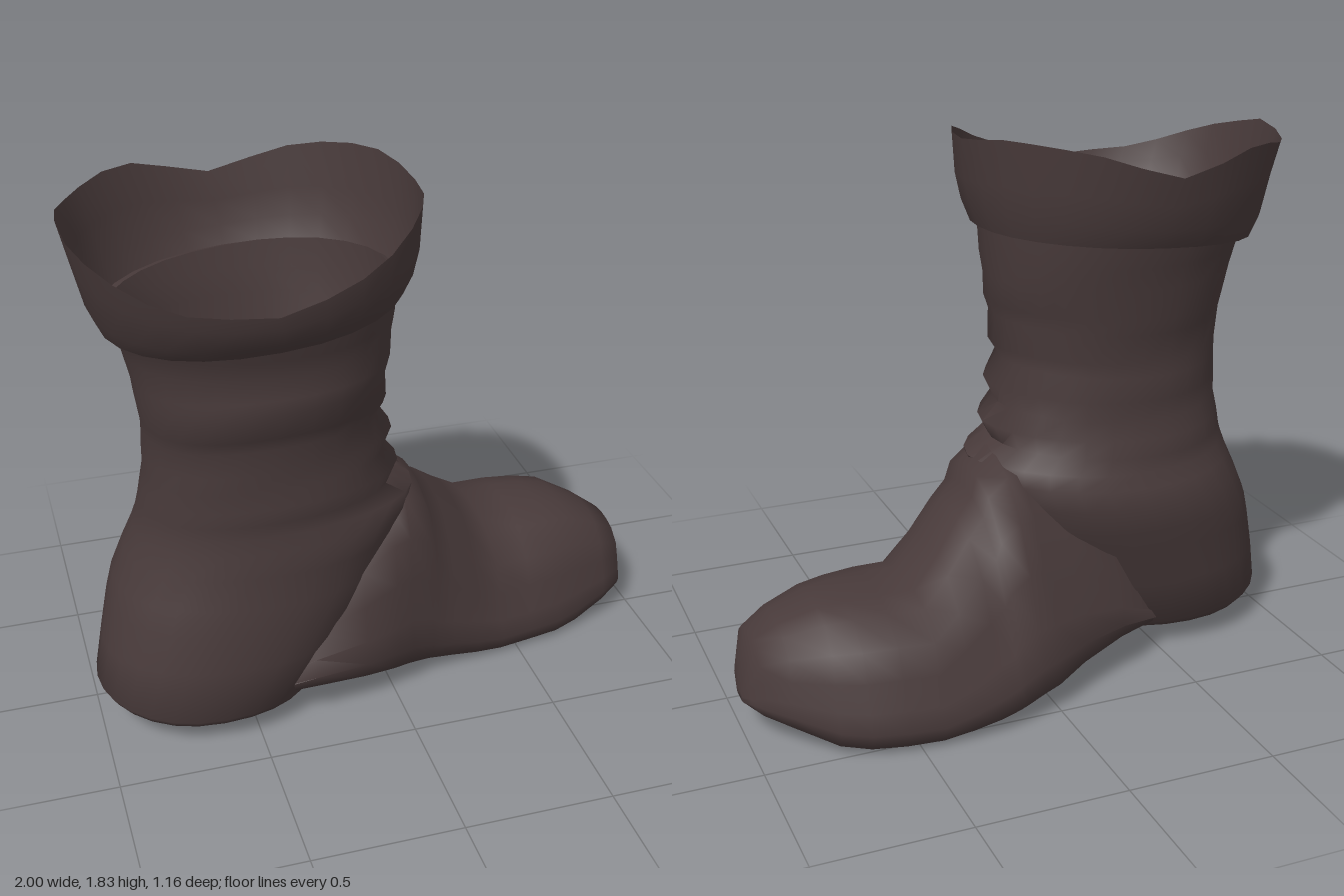
import * as THREE from 'three';
import { toCreasedNormals } from 'three/addons/utils/BufferGeometryUtils.js';

const V = (x, y, z) => new THREE.Vector3(x, y, z);
const SIDES = 28;

// Skin a list of closed rings, optionally closing the first or last one
function loft(rings, crease, capStart, capEnd) {
  const n = rings[0].length;
  const points = rings.flat();
  const index = [];
  for (let i = 0; i < rings.length - 1; i++) {
    for (let j = 0; j < n; j++) {
      const a = i * n + j, b = i * n + (j + 1) % n;
      index.push(a, a + n, b, b, a + n, b + n);
    }
  }
  const cap = (ring, base, flip) => {
    const centre = V(0, 0, 0);
    ring.forEach((p) => centre.addScaledVector(p, 1 / n));
    points.push(centre);
    for (let j = 0; j < n; j++) {
      const a = base + j, b = base + (j + 1) % n;
      index.push(flip ? b : a, flip ? a : b, points.length - 1);
    }
  };
  if (capStart) cap(rings[0], 0, false);
  if (capEnd) cap(rings[rings.length - 1], (rings.length - 1) * n, true);
  const g = new THREE.BufferGeometry().setFromPoints(points);
  g.setIndex(index);
  return toCreasedNormals(g, crease);
}

// Horizontal oval filling the given bounds, with an optional bulge at the front
// of the ankle; height and swell may vary by angle
function oval([y, x0, x1, z0, z1, bulge = 0], lift = () => 0, swell = () => 1) {
  const ring = [];
  const soften = (v) => Math.sign(v) * Math.abs(v) ** 0.92;
  for (let j = 0; j < SIDES; j++) {
    const a = (j / SIDES) * Math.PI * 2;
    const c = Math.cos(a), s = Math.sin(a), k = swell(a);
    ring.push(V(
      (x0 + x1) / 2 + ((x1 - x0) / 2) * soften(c) * k + bulge * Math.max(0, c) ** 4,
      y + lift(a),
      (z0 + z1) / 2 + ((z1 - z0) / 2) * soften(s) * k));
  }
  return ring;
}

export function createModel() {
  const boot = new THREE.Group();
  boot.name = 'boot';
  const leather = new THREE.MeshStandardMaterial({ color: 0x483a3a, side: THREE.DoubleSide });
  leather.name = 'dark brown leather';
  const add = (name, geometry) => {
    const mesh = new THREE.Mesh(geometry, leather);
    mesh.name = name;
    boot.add(mesh);
  };

  // Seam shared by the shaft and the cuff
  const hem = (a) => 0.035 * Math.cos(a) - 0.01 * Math.sin(a);
  const neck = oval([1.485, -0.87, 0.04, -0.3, 0.45], hem);

  // Heel and creased shaft: y, xMin, xMax, zMin, zMax, front bulge
  const shaft = [
    [0.077, -0.985, -0.26, -0.22, 0.375],
    [0.1, -1.0, -0.24, -0.24, 0.39],
    [0.28, -0.97, -0.1, -0.28, 0.385],
    [0.42, -0.94, -0.02, -0.3, 0.38],
    [0.5, -0.915, 0.03, -0.32, 0.37],
    [0.6, -0.87, 0.07, -0.325, 0.36],
    [0.68, -0.835, 0.1, -0.315, 0.365],
    [0.73, -0.82, 0.07, -0.285, 0.35, 0.05],
    [0.78, -0.81, 0.03, -0.27, 0.35],
    [0.84, -0.8, 0.02, -0.265, 0.365, 0.04],
    [0.9, -0.79, 0.0, -0.245, 0.355],
    [0.97, -0.79, 0.0, -0.245, 0.365, 0.035],
    [1.05, -0.785, -0.02, -0.24, 0.36],
    [1.1, -0.79, -0.01, -0.24, 0.385, 0.02],
    [1.2, -0.805, 0.0, -0.245, 0.415],
    [1.25, -0.81, 0.005, -0.26, 0.415, 0.015],
    [1.34, -0.83, 0.025, -0.27, 0.41],
    [1.41, -0.85, 0.035, -0.285, 0.43],
  ];
  const heelLift = (a) => 0.04 * Math.max(0, -Math.cos(a)) ** 2;
  const shaftRings = shaft.map((row, i) => {
    const y = row[0];
    const fold = THREE.MathUtils.smoothstep(y, 0.5, 0.75) * (1 - THREE.MathUtils.smoothstep(y, 1.2, 1.4));
    const slant = (a) => 0.03 * fold * Math.sin(a + 0.5) * Math.abs(Math.sin(a));
    const swell = (a) => 1 + 0.012 * fold * Math.sin(y * 30 + a * 2) * Math.sin(a) ** 2;
    return oval(row, i < 2 ? heelLift : slant, swell);
  });
  add('shaft', loft([...shaftRings, neck], 1.25, true, false));

  // Flared cuff with an uneven rim
  const rimHeights = [1.8, 1.8, 1.7, 1.62, 1.64, 1.73, 1.79, 1.76, 1.8, 1.72, 1.81, 1.835];
  const rimLift = (a) => {
    const t = (a / (Math.PI * 2)) * 12, i = Math.floor(t);
    return THREE.MathUtils.lerp(rimHeights[i % 12], rimHeights[(i + 1) % 12], t - i) - 1.75;
  };
  add('cuff', loft([
    neck,
    oval([1.475, -0.9, 0.06, -0.33, 0.485], hem),
    oval([1.54, -0.93, 0.085, -0.36, 0.535], (a) => hem(a) + 0.15 * rimLift(a)),
    oval([1.64, -0.965, 0.1, -0.375, 0.57], (a) => 0.5 * rimLift(a)),
    oval([1.75, -0.995, 0.11, -0.395, 0.58], rimLift),
  ], 0.95, false, false));

  // Foot: x, zMin, zMax, bottom, top
  const foot = [
    [-0.6, -0.15, 0.28, 0.08, 0.085],
    [-0.3, -0.36, 0.37, 0.12, 0.5],
    [-0.12, -0.45, 0.335, 0.09, 0.66],
    [0.0, -0.52, 0.29, 0.06, 0.76],
    [0.06, -0.54, 0.265, 0.05, 0.765],
    [0.14, -0.57, 0.24, 0.038, 0.715],
    [0.165, -0.575, 0.235, 0.035, 0.655],
    [0.23, -0.585, 0.225, 0.025, 0.605],
    [0.33, -0.585, 0.215, 0.012, 0.51],
    [0.43, -0.58, 0.2, 0.002, 0.43],
    [0.55, -0.57, 0.18, 0.003, 0.435],
    [0.66, -0.545, 0.16, 0.005, 0.43],
    [0.75, -0.5, 0.125, 0.014, 0.42],
    [0.87, -0.405, 0.08, 0.06, 0.365],
    [0.95, -0.335, 0.03, 0.09, 0.31],
    [0.98, -0.29, -0.05, 0.11, 0.21],
    [1.0, -0.25, -0.17, 0.12, 0.15],
  ];
  // Half section: width for a low toe, width for a tall instep, height
  const section = [
    [0, 0, 0], [0.6, 0.6, 0], [0.94, 0.94, 0.05], [1, 1, 0.18], [0.94, 0.93, 0.33],
    [0.86, 0.8, 0.55], [0.76, 0.67, 0.76], [0.5, 0.44, 0.93], [0.25, 0.2, 0.985], [0, 0, 1],
  ];
  const mirrored = section.slice(1, -1).reverse().map(([l, t, v]) => [-l, -t, v]);
  add('foot', loft(foot.map(([x, z0, z1, y0, y1]) => {
    const tall = THREE.MathUtils.clamp((y1 - y0 - 0.42) / 0.22, 0, 1);
    return [...section, ...mirrored].map(([low, high, v]) => {
      const u = THREE.MathUtils.lerp(low, high, tall);
      const lean = 0.15 * tall * v; // the instep leans back toward the shaft
      return V(x, y0 + (y1 - y0) * v, (z0 + z1) / 2 + lean + ((z1 - z0) / 2) * u);
    });
  }), 1.4, false, true));

  return boot;
}
